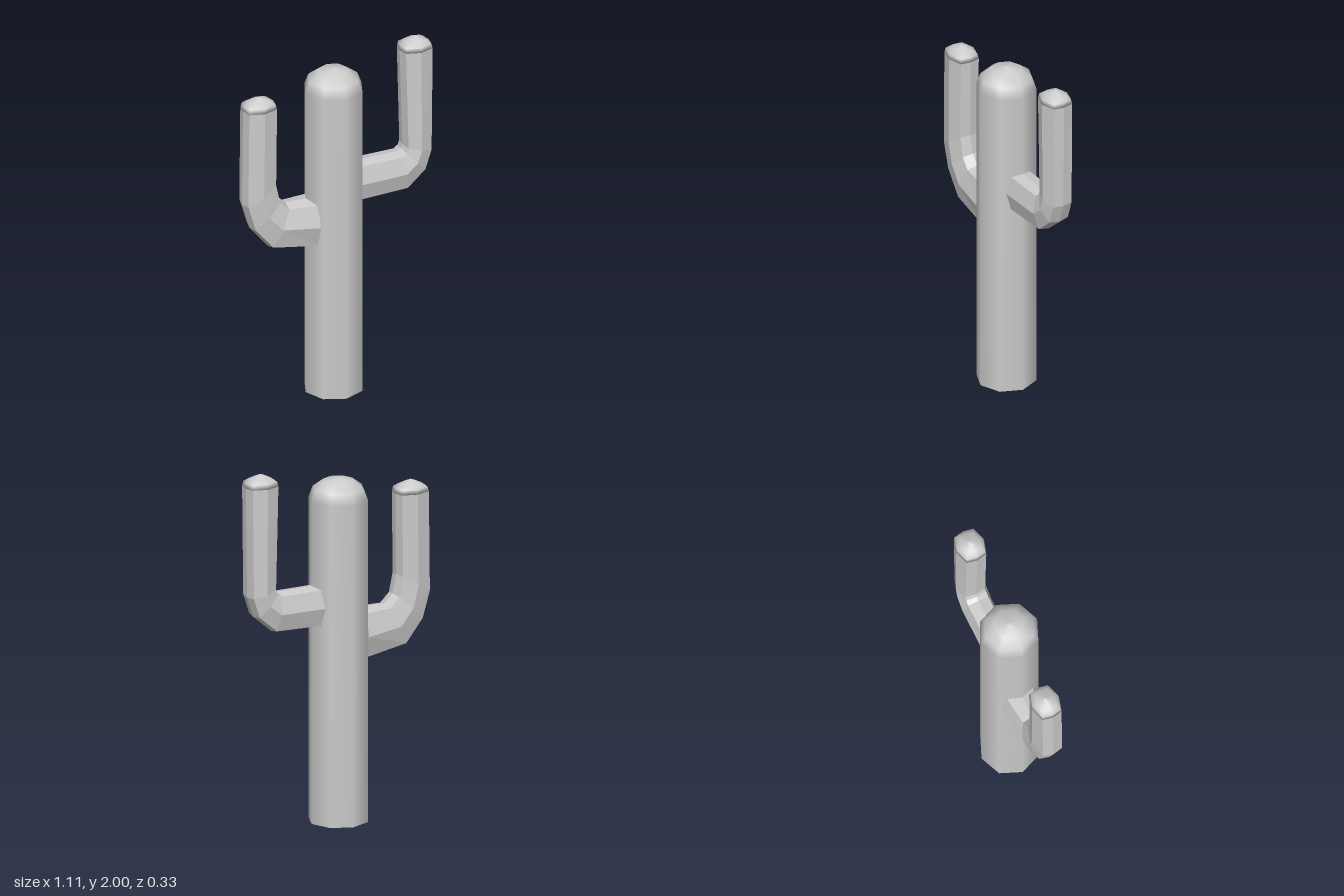
import * as THREE from 'three';

// Eight-sided, slightly boxy cross-section: [towards outer bend, depth]
const SECTION = [[1, 0], [0.88, 0.7], [0, 1], [-0.88, 0.7], [-1, 0], [-0.88, -0.7], [0, -1], [0.88, -0.7]];

// Skins rings given as [innerX, innerY, outerX, outerY, halfDepth], closing both ends
function loft(rings, side) {
  const n = SECTION.length, pos = [], index = [];
  for (const [ix, iy, ox, oy, depth] of rings) {
    for (const [a, b] of SECTION) {
      pos.push((ix + ox) / 2 + a * (ox - ix) / 2, (iy + oy) / 2 + a * (oy - iy) / 2, -side * b * depth);
    }
  }
  for (let i = 0; i < rings.length - 1; i++) {
    for (let j = 0; j < n; j++) {
      const p = i * n + j, q = i * n + (j + 1) % n;
      index.push(p, q, q + n, p, q + n, p + n);
    }
  }
  const last = (rings.length - 1) * n;
  for (let j = 1; j < n - 1; j++) {
    index.push(0, j + 1, j, last, last + j, last + j + 1);
  }
  const g = new THREE.BufferGeometry();
  g.setAttribute('position', new THREE.Float32BufferAttribute(pos, 3));
  g.setIndex(index);
  g.computeVertexNormals();
  return g;
}

export function createModel() {
  const group = new THREE.Group();
  const smooth = new THREE.MeshStandardMaterial({ color: 0xcccccc });
  const flat = new THREE.MeshStandardMaterial({ color: 0xcccccc, flatShading: true });

  function add(parent, name, geometry, material) {
    const mesh = new THREE.Mesh(geometry, material);
    mesh.name = name;
    parent.add(mesh);
    return mesh;
  }

  // Trunk with rounded top
  const profile = [[0.165, 0], [0.165, 1.795], [0.142, 1.855], [0.085, 1.898], [0, 1.917]]
    .map(([r, y]) => new THREE.Vector2(r, y));
  const trunk = add(group, 'trunk', new THREE.LatheGeometry(profile, 8), smooth);
  trunk.position.x = -0.015;

  // Flat underside
  const base = add(group, 'trunkBase', new THREE.CircleGeometry(0.165, 8).rotateX(Math.PI / 2), flat);
  base.position.x = -0.015;

  // Bent arm with a smooth domed tip
  function addArm(name, side, rings) {
    const arm = new THREE.Group();
    arm.name = name;
    group.add(arm);
    add(arm, name + 'Limb', loft(rings, side), flat);
    const [ix, y, ox, , depth] = rings[rings.length - 1];
    const c = (ix + ox) / 2, h = (ox - ix) / 2;
    const tip = [[1, 0], [0.93, 0.026], [0.66, 0.042], [0.3, 0.058], [0.001, 0.068]]
      .map(([s, dy]) => [c - h * s, y + dy, c + h * s, y + dy, depth * s]);
    add(arm, name + 'Tip', loft(tip, side), smooth);
  }

  addArm('leftArm', 1, [
    [0.115, 1.33, 0.115, 1.105, 0.085],
    [0.365, 1.33, 0.4, 1.115, 0.085],
    [0.385, 1.343, 0.51, 1.21, 0.084],
    [0.393, 1.365, 0.548, 1.325, 0.083],
    [0.377, 1.935, 0.556, 1.935, 0.083],
  ]);
  addArm('rightArm', -1, [
    [-0.142, 1.167, -0.142, 0.89, 0.11],
    [-0.3, 1.167, -0.405, 0.93, 0.086],
    [-0.348, 1.215, -0.512, 1.06, 0.081],
    [-0.37, 1.32, -0.557, 1.21, 0.081],
    [-0.365, 1.77, -0.551, 1.77, 0.081],
  ]);

  return group;
}
